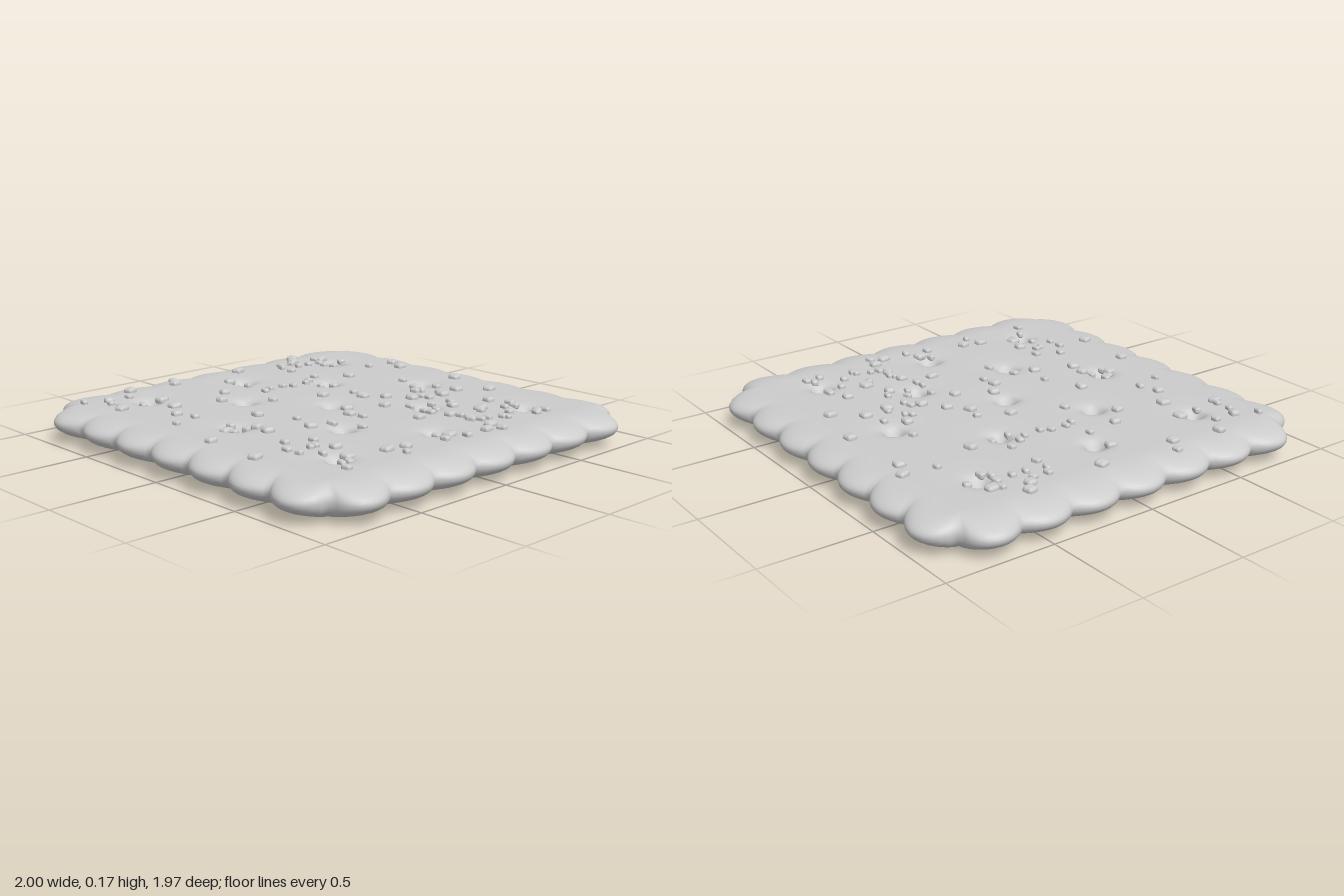
import * as THREE from 'three';
import { RoundedBoxGeometry } from 'three/addons/geometries/RoundedBoxGeometry.js';

const CORE = 0.8;            // half width of the flat middle
const TOP = 0.152, MID = 0.09, BOTTOM = 0.015;

// Docking holes in a staggered pattern
const holes = [];
for (const z of [-0.585, 0.01, 0.575]) for (const x of [-0.625, 0, 0.625]) holes.push([x, z]);
for (const z of [-0.26, 0.255]) for (const x of [-0.32, 0.32]) holes.push([x, z]);

// Funnel strength: 1 at a hole's rim, fading outwards
function dent(x, z) {
  let d = 0;
  for (const [hx, hz] of holes) {
    const r = Math.hypot(x - hx, z - hz);
    d = Math.max(d, Math.exp(-Math.max(r - 0.012, 0) / 0.024));
  }
  return d;
}
const topY = (x, z) => TOP - (TOP - MID) * dent(x, z);
function bottomY(x, z) {
  const sag = 0.014 * (1 - (x / CORE) ** 2) * (1 - (z / CORE) ** 2);
  const y = BOTTOM - sag;
  return y + (MID - y) * dent(x, z) ** 1.4;
}

function surface(positions, index) {
  const g = new THREE.BufferGeometry();
  g.setAttribute('position', new THREE.Float32BufferAttribute(positions, 3));
  g.setIndex(index);
  g.computeVertexNormals();
  return g;
}

// Flat middle as a grid whose vertices snap to a small ring around each hole
function coreGeometry(heightAt, up) {
  const n = 80, step = 2 * CORE / n;
  const pos = [], index = [], removed = new Set();
  const id = (i, j) => j * (n + 1) + i;
  for (let j = 0; j <= n; j++) {
    for (let i = 0; i <= n; i++) pos.push(-CORE + i * step, 0, -CORE + j * step);
  }
  for (const [hx, hz] of holes) {
    const ci = Math.round((hx + CORE) / step), cj = Math.round((hz + CORE) / step);
    removed.add(id(ci, cj));
    for (let dj = -1; dj <= 1; dj++) for (let di = -1; di <= 1; di++) {
      const a = Math.atan2(dj, di), k = 3 * id(ci + di, cj + dj);
      pos[k] = hx + 0.012 * Math.cos(a);
      pos[k + 2] = hz + 0.012 * Math.sin(a);
    }
  }
  for (let k = 0; k < pos.length; k += 3) pos[k + 1] = heightAt(pos[k], pos[k + 2]);
  for (let j = 0; j < n; j++) for (let i = 0; i < n; i++) {
    const a = id(i, j), b = id(i, j + 1), c = id(i + 1, j + 1), d = id(i + 1, j);
    if ([a, b, c, d].some(v => removed.has(v))) continue;
    if (up) index.push(a, b, d, b, c, d);
    else index.push(a, d, b, b, d, c);
  }
  return surface(pos, index);
}

// Scalloped outline: seven bumps on each side, paired with points on the core's edge
function outline() {
  const pts = [], per = 12, total = 7 * per;
  for (let side = 0; side < 4; side++) {
    for (let k = 0; k < total; k++) {
      const bump = Math.floor(k / per), d = 2 * (k % per) / per - 1;
      const c = (bump - 3) * 0.244;
      let x = c + 0.122 * d, z = 0.93 + 0.053 * (1 - d * d);
      if ((bump === 0 && d < 0) || (bump === 6 && d > 0)) {
        const a = Math.abs(d) * Math.PI / 2;
        x = c + Math.sign(d) * 0.118 * Math.sin(a);
        z = 0.85 + 0.133 * Math.cos(a);
      }
      let ix = x * CORE / 0.85, iz = CORE;
      for (let q = 0; q < side; q++) {
        [x, z] = [z, -x];
        [ix, iz] = [iz, -ix];
      }
      pts.push({ x: x * 1.0173, z, ix, iz });
    }
  }
  return pts;
}

// Rounded rim swept over the outline from the top edge to the bottom edge
function rimGeometry() {
  const pts = outline(), m = pts.length, rings = 20, pos = [], index = [];
  for (let r = 0; r <= rings; r++) {
    const a = Math.PI * r / rings, t = Math.sin(a), c = Math.cos(a);
    const y = MID + c * (c > 0 ? TOP - MID : MID - BOTTOM);
    for (const p of pts) pos.push(p.ix + (p.x - p.ix) * t, y, p.iz + (p.z - p.iz) * t);
  }
  for (let r = 0; r < rings; r++) for (let k = 0; k < m; k++) {
    const a = r * m + k, d = r * m + (k + 1) % m;
    index.push(a, a + m, d, a + m, d + m, d);
  }
  return surface(pos, index);
}

// Larger salt grains, x and z in hundredths
const GRAINS = [
  -41, -80, -32, -76, -43, -65, 3, -78, 30, -72, 53, -59, 44, -55, 20, -60, -10, -55, 4, -49,
  22, -48, 10, -57, -72, -59, -82, -48, -67, -53, -77, -44, -35, -43, 34, -40, 39, -36, 51, -41,
  69, -38, 17, -33, 7, -26, -9, -21, -1, -19, 49, -23, 58, -25, 72, -23, 76, -16, 79, -22,
  18, -14, -15, -7, -38, -9, -80, -10, -67, 6, -41, 3, 10, 2, 18, 8, 25, 7, 43, -10,
  70, 1, -24, 16, -50, 23, -40, 33, -87, 25, -80, 29, -9, 38, 8, 30, 21, 34, 70, 27,
  76, 33, 68, 36, -83, 53, -74, 60, -61, 51, -46, 55, -25, 60, 6, 51, 14, 52, 38, 48,
  51, 48, 62, 52, 48, 65, -74, 71, -58, 75, -79, 81, 10, 79, 40, 81, -21, 73, -34, 63,
  0, 63, 75, 65,
];

// Centres around which the small grains gather: x, z, count
const CLUSTERS = [
  [-0.65, -0.55, 6], [-0.7, -0.35, 5], [0.65, -0.55, 7], [0.15, -0.43, 5], [-0.37, -0.25, 5],
  [0.6, -0.3, 7], [0.35, -0.24, 5], [0.7, 0.02, 3], [-0.43, 0.04, 3], [0.3, 0.23, 3],
  [0.4, 0.56, 4], [0, 0.57, 4], [-0.64, 0.7, 3], [0.63, 0.6, 3],
];

function createModel() {
  const model = new THREE.Group();
  model.name = 'saltedCracker';
  const baked = new THREE.MeshStandardMaterial({ color: 0xcccccc });
  baked.name = 'pale grey';

  const add = (name, geometry, parent = model) => {
    const mesh = new THREE.Mesh(geometry, baked);
    mesh.name = name;
    parent.add(mesh);
    return mesh;
  };
  add('topCrust', coreGeometry(topY, true));
  add('bottomCrust', coreGeometry(bottomY, false));
  add('scallopedRim', rimGeometry());

  // Salt
  const salt = new THREE.Group();
  salt.name = 'salt';
  model.add(salt);
  let seed = 7;
  const rand = () => (seed = (seed * 16807) % 2147483647) / 2147483647;
  const large = new RoundedBoxGeometry(0.05, 0.034, 0.05, 2, 0.015);
  const small = new RoundedBoxGeometry(0.042, 0.03, 0.03, 2, 0.011);
  const sprinkle = (name, geometry, x, z) => {
    const grain = add(name, geometry, salt);
    const onRim = Math.max(Math.abs(x), Math.abs(z)) > 0.84 ? 0.006 : 0;
    grain.position.set(x, topY(x, z) + 0.004 - onRim, z);
    grain.rotation.set((rand() - 0.5) * 0.2, (rand() - 0.5) * 0.6, (rand() - 0.5) * 0.2);
    grain.scale.set(0.85 + rand() * 0.3, 1, 0.85 + rand() * 0.3);
  };
  for (let i = 0; i < GRAINS.length; i += 2) {
    sprinkle('largeGrain', i % 6 === 4 ? small : large, GRAINS[i] / 100, GRAINS[i + 1] / 100);
  }
  for (const [x, z, count] of CLUSTERS) {
    for (let i = 0; i < count; i++) {
      const a = i * 2.4 + rand(), r = 0.04 + 0.06 * rand();
      sprinkle('smallGrain', small, x + r * Math.cos(a), z + r * Math.sin(a));
    }
  }
  return model;
}

export { createModel };
